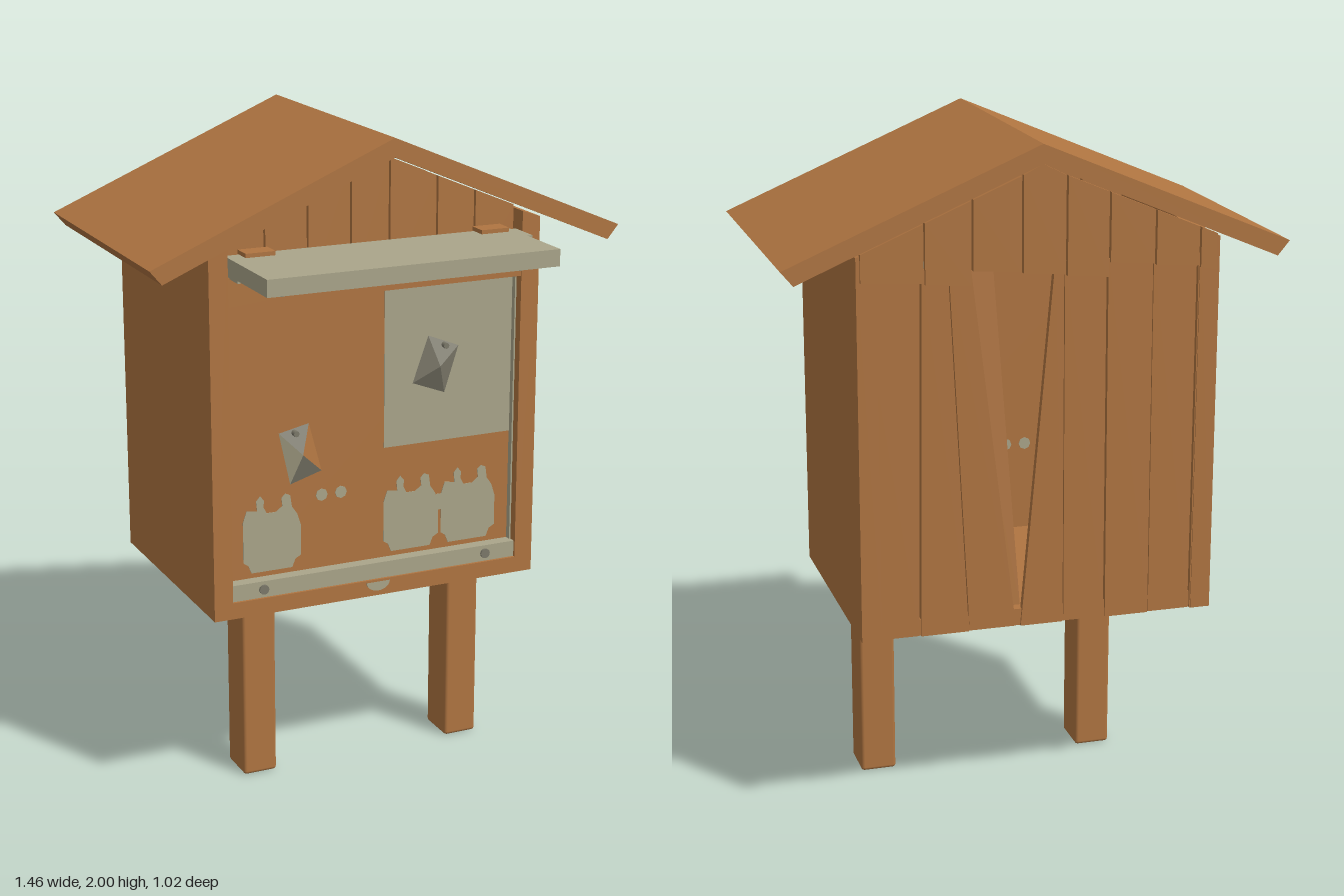
import * as THREE from 'three';
import { RoundedBoxGeometry } from 'three/addons/geometries/RoundedBoxGeometry.js';

export function createModel() {
  const model = new THREE.Group();
  const mat = (name, color) => {
    const m = new THREE.MeshStandardMaterial({ color, side: THREE.DoubleSide });
    m.name = name;
    return m;
  };
  const wood = mat('warm wood', 0xb07541);
  const pale = mat('pale paint', 0xaaa58a);
  const metal = mat('dull metal', 0x7c796a);

  const add = (name, geometry, material, parent = model) => {
    const mesh = new THREE.Mesh(geometry, material);
    mesh.name = name;
    parent.add(mesh);
    return mesh;
  };
  // Box given by its limits on each axis
  const box = (name, x0, x1, y0, y1, z0, z1, material = wood) => {
    const g = new THREE.BoxGeometry(x1 - x0, y1 - y0, z1 - z0);
    g.translate((x0 + x1) / 2, (y0 + y1) / 2, (z0 + z1) / 2);
    return add(name, g, material);
  };
  // Outline in x and y, extruded from z0 to z1
  const plate = (name, points, z0, z1, material = wood, parent = model) => {
    const shape = new THREE.Shape(points.map(([x, y]) => new THREE.Vector2(x, y)));
    const g = new THREE.ExtrudeGeometry(shape, { depth: z1 - z0, bevelEnabled: false });
    g.translate(0, 0, z0);
    return add(name, g, material, parent);
  };
  const roofUnder = (x) => 1.94 - 0.421 * Math.abs(x);

  // Legs
  for (const x of [-0.31, 0.383]) {
    const g = new RoundedBoxGeometry(0.108, 0.62, 0.13, 2, 0.01);
    add('leg', g.translate(x, 0.31, -0.01), wood);
  }

  // Cabinet walls and floor, with slanted wall tops under the roof
  for (const s of [-1, 1]) {
    plate('sideWall', [[s * 0.465, 0.605], [s * 0.523, 0.605], [s * 0.523, 1.715], [s * 0.465, 1.735]], -0.5, 0.24);
    box('innerTrim', s * 0.4625 - 0.0025, s * 0.4625 + 0.0025, 0.7, 1.54, 0.185, 0.212, pale);
  }
  box('floor', -0.465, 0.465, 0.605, 0.655, -0.49, 0.24);

  // Roof
  plate('roof', [[0, 2], [0.73, 1.692], [0.695, 1.65], [0, 1.945], [-0.695, 1.65], [-0.73, 1.692]], -0.51, 0.34);

  // Front gable planks
  const front = [-0.465, -0.333, -0.2, -0.065, 0.057, 0.21, 0.333, 0.465];
  for (let i = 0; i < 7; i++) {
    const a = front[i] + 0.003, b = front[i + 1] - 0.003;
    const top = [[b, roofUnder(b)], [a, roofUnder(a)]];
    if (a < 0 && b > 0) top.splice(1, 0, [0, 1.945]);
    plate('frontGablePlank', [[a, 1.54], [b, 1.54], ...top], 0.165 + 0.005 * (i % 2), 0.188);
  }

  // Back planks; the pair around the split is cut on a slant
  const back = [
    [-0.515, -0.462, -0.462, -0.515], [-0.458, -0.335, -0.33, -0.458],
    [-0.331, -0.2, -0.195, -0.326], [-0.196, -0.075, -0.07, -0.191],
    [-0.071, 0.055, -0.04, -0.066], [0.068, 0.205, 0.34, 0.2],
    [0.21, 0.35, 0.34, 0.33], [0.354, 0.515, 0.515, 0.344],
  ];
  back[5] = [0.068, 0.206, 0.262, 0.2];
  back[6] = [0.21, 0.35, 0.34, 0.266];
  back.forEach(([a, b, c, d], i) => {
    const z = -0.497 + 0.005 * (i % 2);
    plate('backPlank', [[a, 0.605], [b, 0.605], [c, 1.67], [d, 1.67]], z, z + 0.02);
  });

  // Back gable planks, overlapping the tall planks
  const gable = [-0.515, -0.462, -0.33, -0.195, -0.07, 0.057, 0.2, 0.335, 0.515];
  for (let i = 0; i < 8; i++) {
    const a = gable[i] + 0.003, b = gable[i + 1] - 0.003, low = 1.62 + 0.015 * (i % 3);
    const top = [[b, roofUnder(b)], [a, roofUnder(a)]];
    if (a < 0 && b > 0) top.splice(1, 0, [0, 1.945]);
    plate('backGablePlank', [[a, low], [b, low + 0.01], ...top], -0.508, -0.49);
  }

  // Broken plank leaning into the cabinet
  const broken = plate('brokenPlank', [[0.05, 0], [0.13, 0], [0.22, 0.98], [0.11, 0.98]], -0.01, 0.008);
  broken.position.set(0, 0.66, -0.46);
  broken.rotation.x = 0.07;

  // Notice panel with its painted patches, visible from both sides
  const patch = (name, pts) => plate(name, pts, 0.186, 0.195, pale);
  box('noticePanel', -0.465, 0.465, 0.655, 1.56, 0.188, 0.193);
  patch('largePatch', [[0.04, 1.05], [0.46, 1.05], [0.46, 1.54], [0.04, 1.54]]);
  const jar = [
    [0.025, 0.72], [0.155, 0.72], [0.165, 0.745], [0.183, 0.755], [0.183, 0.85], [0.172, 0.885],
    [0.155, 0.91], [0.15, 0.945], [0.135, 0.952], [0.122, 0.94], [0.125, 0.915], [0.105, 0.9],
    [0.075, 0.9], [0.065, 0.92], [0.067, 0.94], [0.055, 0.955], [0.042, 0.94], [0.045, 0.91],
    [0.012, 0.915], [0, 0.88], [0, 0.755], [0.015, 0.745],
  ];
  for (const x of [-0.413, 0.04, 0.232]) {
    patch('jarPatch', jar.map(([px, py]) => [x + px, py]));
  }
  patch('jarLink', [[0.215, 0.83], [0.24, 0.83], [0.24, 0.88], [0.215, 0.88]]);
  for (const x of [-0.162, -0.1]) {
    const g = new THREE.CylinderGeometry(0.019, 0.019, 0.009, 8).rotateX(Math.PI / 2);
    add('dotPatch', g.translate(x, 0.932, 0.1905), pale);
  }

  // Pinned notes: a folded quad around a raised centre
  const note = (name, corners, lift, materials) => {
    const group = new THREE.Group();
    group.name = name;
    const cx = corners.reduce((s, c) => s + c[0], 0) / 4;
    const cy = corners.reduce((s, c) => s + c[1], 0) / 4;
    corners.forEach((c, i) => {
      const d = corners[(i + 1) % 4];
      const g = new THREE.BufferGeometry();
      g.setAttribute('position', new THREE.Float32BufferAttribute(
        [c[0], c[1], 0.2, d[0], d[1], 0.2, cx, cy, 0.2 + lift], 3));
      g.computeVertexNormals();
      add('noteFold', g, materials[i], group);
    });
    const [p, q] = [corners[2], corners[3]];
    const pin = new THREE.CylinderGeometry(0.009, 0.009, 0.03, 8).rotateX(Math.PI / 2);
    add('pin', pin.translate((p[0] + q[0]) / 2, (p[1] + q[1]) / 2 - 0.012, 0.207), metal, group);
    model.add(group);
  };
  note('rightNote', [[0.13, 1.24], [0.235, 1.2], [0.28, 1.34], [0.18, 1.38]], 0.03, [metal, metal, metal, metal]);
  note('leftNote', [[-0.265, 0.98], [-0.165, 1.01], [-0.205, 1.16], [-0.3, 1.14]], 0.025, [metal, wood, metal, pale]);

  // Rails across the front and the small latch
  box('topRail', -0.465, 0.465, 1.54, 1.625, 0.185, 0.238);
  box('bottomRail', -0.465, 0.465, 0.655, 0.705, 0.19, 0.232, pale);
  const latch = new THREE.CylinderGeometry(0.038, 0.038, 0.006, 16, 1, false, -Math.PI / 2, Math.PI);
  latch.rotateX(Math.PI / 2).scale(1, 0.75, 1);
  add('latch', latch.translate(0, 0.65, 0.242), pale);

  // Raised front flap with hinges, bolts and under-batten
  box('flap', -0.46, 0.437, 1.63, 1.68, 0.2, 0.512, pale);
  box('flapLip', -0.46, 0.465, 1.622, 1.675, 0.2, 0.3, pale);
  box('flapBatten', -0.44, 0.43, 1.617, 1.63, 0.238, 0.34);
  for (const s of [-1, 1]) {
    box('hinge', s * 0.37 - 0.045, s * 0.37 + 0.045, 1.68, 1.692, 0.19, 0.25);
    const head = new THREE.CylinderGeometry(0.015, 0.015, 0.03, 12);
    add('flapBolt', head.clone().translate(s * 0.37, 1.615, 0.39), metal);
    add('railBolt', head.rotateX(Math.PI / 2).translate(s * 0.365, 0.68, 0.223), metal);
  }
  return model;
}
